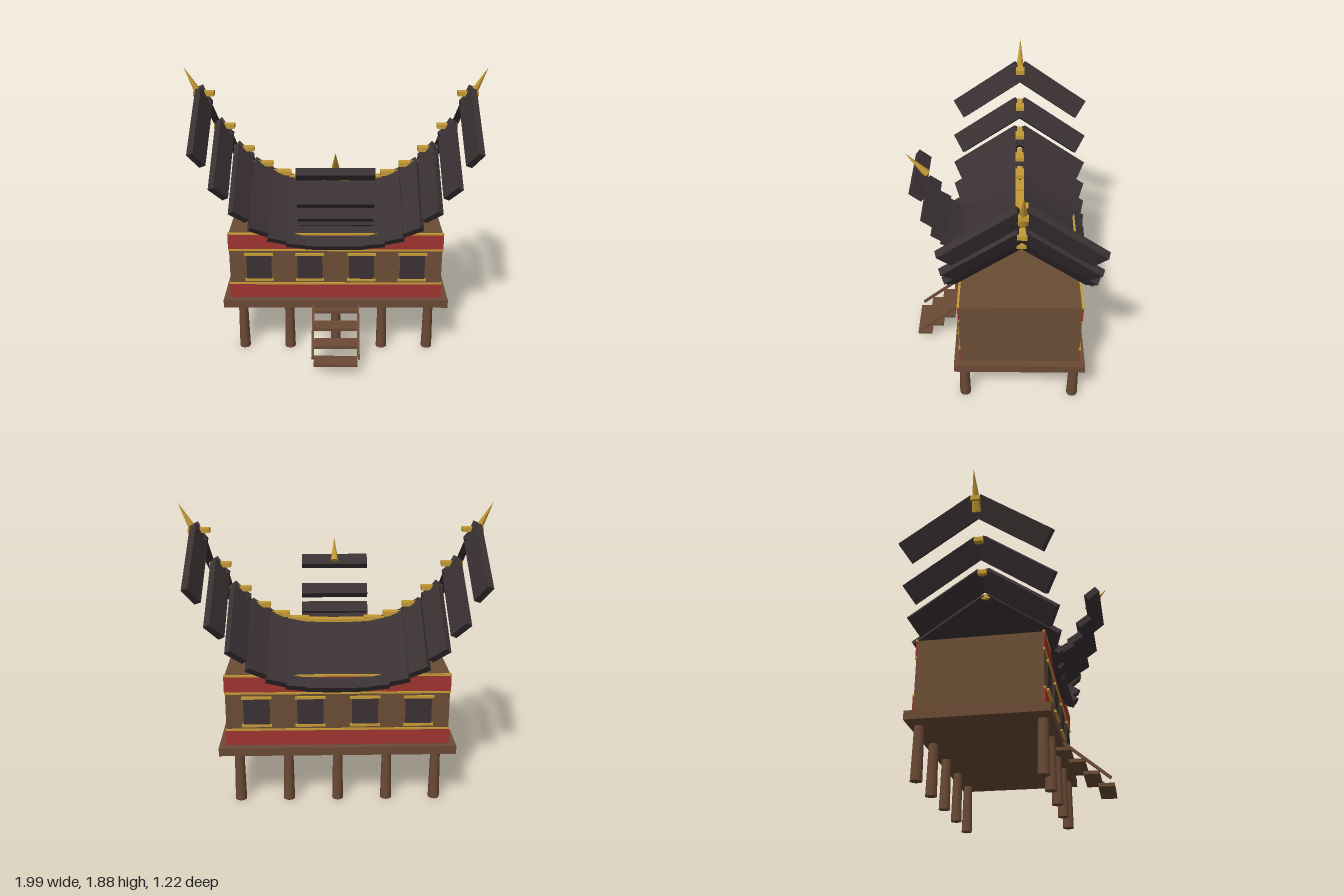
import * as THREE from 'three';

const mat = (name, color) => {
  const m = new THREE.MeshStandardMaterial({ color });
  m.name = name;
  return m;
};

export function createModel() {
  const wood = mat('timber', 0x6b4a35);
  const wall = mat('wallBoards', 0x6b4d35);
  const red = mat('redPanel', 0xa03330);
  const gold = mat('gold', 0xc49a35);
  const dark = mat('darkRoof', 0x3a3133);

  const model = new THREE.Group();
  model.name = 'stiltHouse';
  const CZ = -0.125; // house centre line in z

  const add = (name, geo, material, x, y, z, parent = model) => {
    const m = new THREE.Mesh(geo, material);
    m.name = name;
    m.position.set(x, y, z);
    parent.add(m);
    return m;
  };
  const box = (name, w, h, d, material, x, y, z, parent) =>
    add(name, new THREE.BoxGeometry(w, h, d), material, x, y, z, parent);

  // Stilts and platform
  for (const x of [-0.63, -0.315, 0, 0.315, 0.63])
    for (const z of [0.24, -0.49])
      add('stilt', new THREE.CylinderGeometry(0.031, 0.037, 0.34, 10), wood, x, 0.17, z);
  box('platform', 1.51, 0.055, 0.85, wood, 0, 0.358, CZ);

  // House body
  box('houseBody', 1.41, 0.47, 0.77, wall, 0, 0.62, CZ);

  // Painted bands, trims and windows on the front and back walls
  for (const side of [1, -1]) {
    const facade = new THREE.Group();
    facade.name = side > 0 ? 'frontFacade' : 'backFacade';
    facade.position.z = CZ;
    facade.rotation.y = side > 0 ? 0 : Math.PI;
    model.add(facade);
    box('lowerRedBand', 1.42, 0.1, 0.008, red, 0, 0.44, 0.386, facade);
    box('upperRedBand', 1.42, 0.105, 0.008, red, 0, 0.802, 0.386, facade);
    for (const y of [0.496, 0.742, 0.857])
      box('goldTrim', 1.42, 0.012, 0.014, gold, 0, y, 0.386, facade);
    for (const x of [-0.51, -0.172, 0.172, 0.51]) {
      box('window', 0.165, 0.18, 0.009, dark, x, 0.617, 0.388, facade);
      for (const y of [0.525, 0.712])
        box('windowSill', 0.19, 0.015, 0.02, gold, x, y, 0.39, facade);
    }
  }

  // Saddle roof: pairs of tilted slabs following a rising ridge curve
  const PITCH = THREE.MathUtils.degToRad(35), LEN = 0.54, END = 0.87;
  const roof = new THREE.Group();
  roof.name = 'saddleRoof';
  model.add(roof);
  for (let i = -7; i <= 7; i++) {
    const t = i / 7, x = t * END;
    const ridge = 1.09 + 0.6 * Math.abs(t) ** 3;
    const slope = Math.atan((1.8 / END) * t * Math.abs(t));
    for (const side of [1, -1]) {
      const slab = box('roofSlab', 0.143, 0.046, LEN, dark, x,
        ridge - (LEN / 2) * Math.sin(PITCH),
        CZ + side * (LEN / 2) * Math.cos(PITCH), roof);
      slab.rotation.set(side * PITCH, 0, slope);
    }
    box('ridgeCap', 0.135, 0.03, 0.058, gold, x, ridge + 0.012, CZ, roof);
  }

  // Pointed finial running from a base point to a tip
  const finial = (base, tip, r) => {
    const dir = tip.clone().sub(base);
    const cone = add('finial', new THREE.ConeGeometry(r, dir.length(), 8), gold, 0, 0, 0);
    cone.position.copy(base).add(tip).multiplyScalar(0.5);
    cone.quaternion.setFromUnitVectors(new THREE.Vector3(0, 1, 0), dir.normalize());
  };
  for (const s of [1, -1])
    finial(new THREE.Vector3(s * 0.87, 1.637, CZ), new THREE.Vector3(s * 0.995, 1.876, CZ), 0.035);
  finial(new THREE.Vector3(0, 1.375, 0.482), new THREE.Vector3(0, 1.525, 0.612), 0.028);

  // Entrance canopy: slabs sweeping up and forward [z, y, tilt in degrees]
  const canopy = [
    [0.21, 0.94, 6], [0.285, 0.95, 18], [0.345, 0.98, 28],
    [0.405, 1.04, 33], [0.465, 1.16, 36], [0.525, 1.365, 38],
  ];
  for (const [z, y, deg] of canopy)
    box('canopySlab', 0.474, 0.046, 0.096, dark, 0, y, z).rotation.x = -THREE.MathUtils.degToRad(deg);

  // Stairs
  for (let i = 0; i < 4; i++)
    box('stairTread', 0.285, 0.022, 0.1, wood, 0, 0.073 + i * 0.082, 0.557 - i * 0.088);
  const dy = 0.24, dz = 0.285;
  for (const s of [1, -1])
    box('stairRail', 0.016, 0.018, Math.hypot(dy, dz), wood, s * 0.15, 0.232, 0.445)
      .rotation.x = Math.atan2(dy, dz);

  return model;
}
